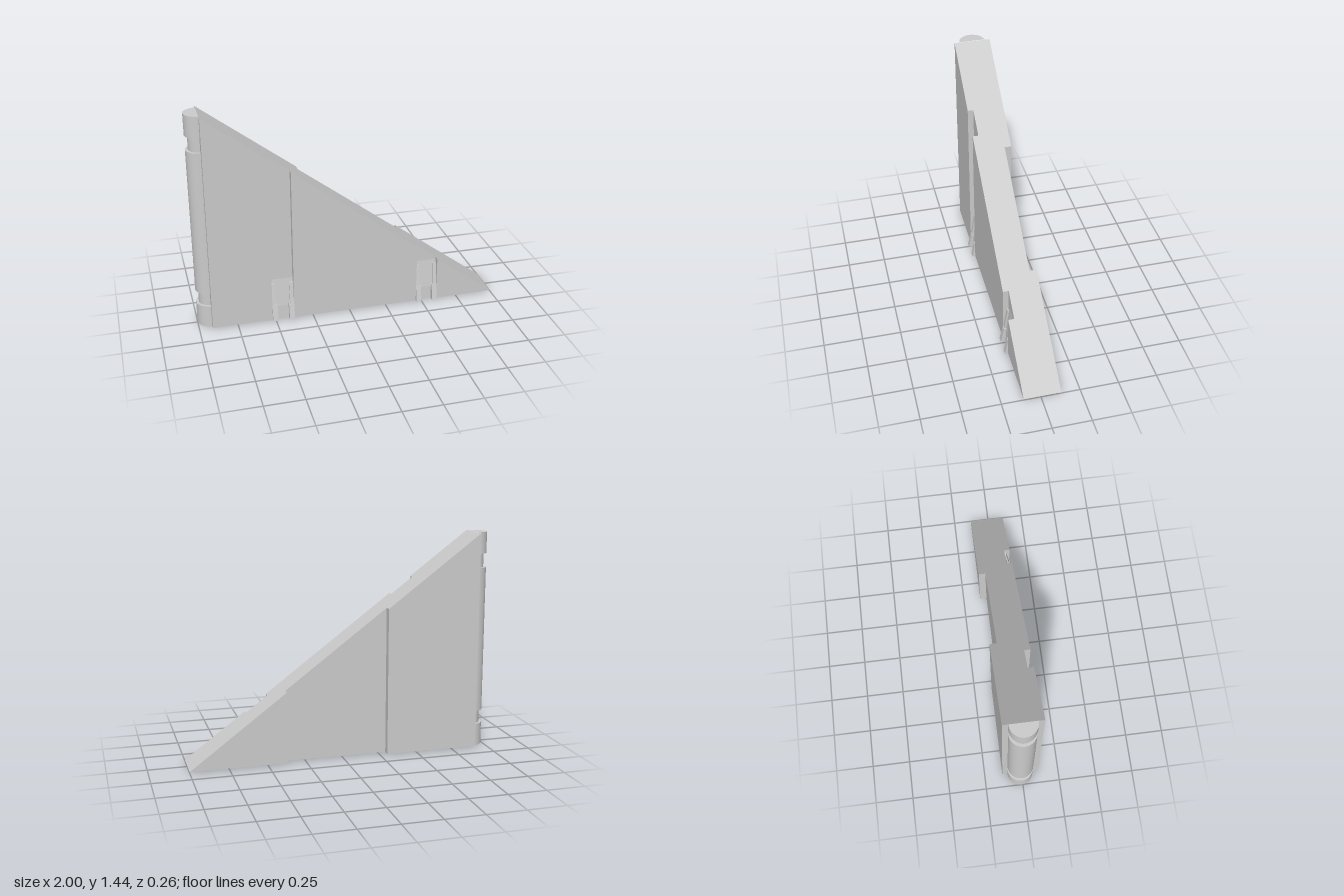
import * as THREE from 'three';
import { toCreasedNormals } from 'three/addons/utils/BufferGeometryUtils.js';

const BASE = 0.01;
const material = new THREE.MeshStandardMaterial({ color: 0xcccccc });

function add(group, name, geometry) {
  const mesh = new THREE.Mesh(geometry, material);
  mesh.name = name;
  group.add(mesh);
}

// Extrudes a [z, y] side profile across x from x0 to x1.
function acrossX(profile, x0, x1) {
  const shape = new THREE.Shape(profile.map(([z, y]) => new THREE.Vector2(-z, y)));
  const g = new THREE.ExtrudeGeometry(shape, { depth: x1 - x0, bevelEnabled: false });
  return g.rotateY(Math.PI / 2).translate(x0, 0, 0);
}

// Plan outline [x, z] raised to the sloping edge.
function plateGeometry(grooves) {
  const outline = [[-0.915, 0.11]];
  for (const [a, b] of grooves) outline.push([a, 0.11], [a, 0.072], [b, 0.072], [b, 0.11]);
  outline.push([1, 0.11], [1, -0.13], [0.375, -0.13], [0.375, -0.085],
    [-0.295, -0.085], [-0.295, -0.13], [-0.915, -0.13]);
  const shape = new THREE.Shape(outline.map(([x, z]) => new THREE.Vector2(x, -z)));
  const g = new THREE.ExtrudeGeometry(shape, { depth: 1, bevelEnabled: false });
  g.rotateX(-Math.PI / 2);
  const p = g.attributes.position;
  for (let i = 0; i < p.count; i++) {
    const height = 1.43 * (1 - p.getX(i)) / 1.915;
    p.setY(i, BASE + p.getY(i) * height);
  }
  g.computeVertexNormals();
  return g;
}

export function createModel() {
  const model = new THREE.Group();
  model.name = 'hingedFin';
  const grooves = [[-0.522, -0.378], [0.46, 0.604]];

  add(model, 'plate', plateGeometry(grooves));

  // Half-round hinge with two narrow necks
  const R = 0.085, r = 0.067;
  const profile = [[0, 0.003], [R, 0.003], [R, 0.153], [r, 0.153], [r, 0.243], [R, 0.243],
    [R, 1.21], [r, 1.21], [r, 1.303], [R, 1.303], [R, 1.443], [0, 1.443]];
  const hinge = new THREE.LatheGeometry(
    profile.map(([x, y]) => new THREE.Vector2(x, y)), 24, Math.PI, Math.PI);
  hinge.translate(-0.915, 0, -0.01);
  add(model, 'hinge', toCreasedNormals(hinge, 0.6));

  for (const [a, b] of grooves) {
    // Groove floor rising towards the base
    add(model, 'grooveRamp', acrossX(
      [[0.065, BASE], [0.1, BASE], [0.096, 0.1], [0.072, 0.29], [0.065, 0.29]], a, b));

    // Pair of clips: wide foot and slimmer upper rib
    for (const side of [-1, 1]) {
      const edge = side < 0 ? a : b;
      const span = (w) => (side < 0 ? [edge, edge + w] : [edge - w, edge]);
      add(model, 'clipFoot', acrossX(
        [[0.07, BASE], [0.132, BASE], [0.111, 0.118], [0.07, 0.118]], ...span(0.034)));
      add(model, 'clipRib', acrossX(
        [[0.07, 0.118], [0.107, 0.118], [0.085, 0.265], [0.07, 0.265]], ...span(0.025)));
    }
  }
  return model;
}
